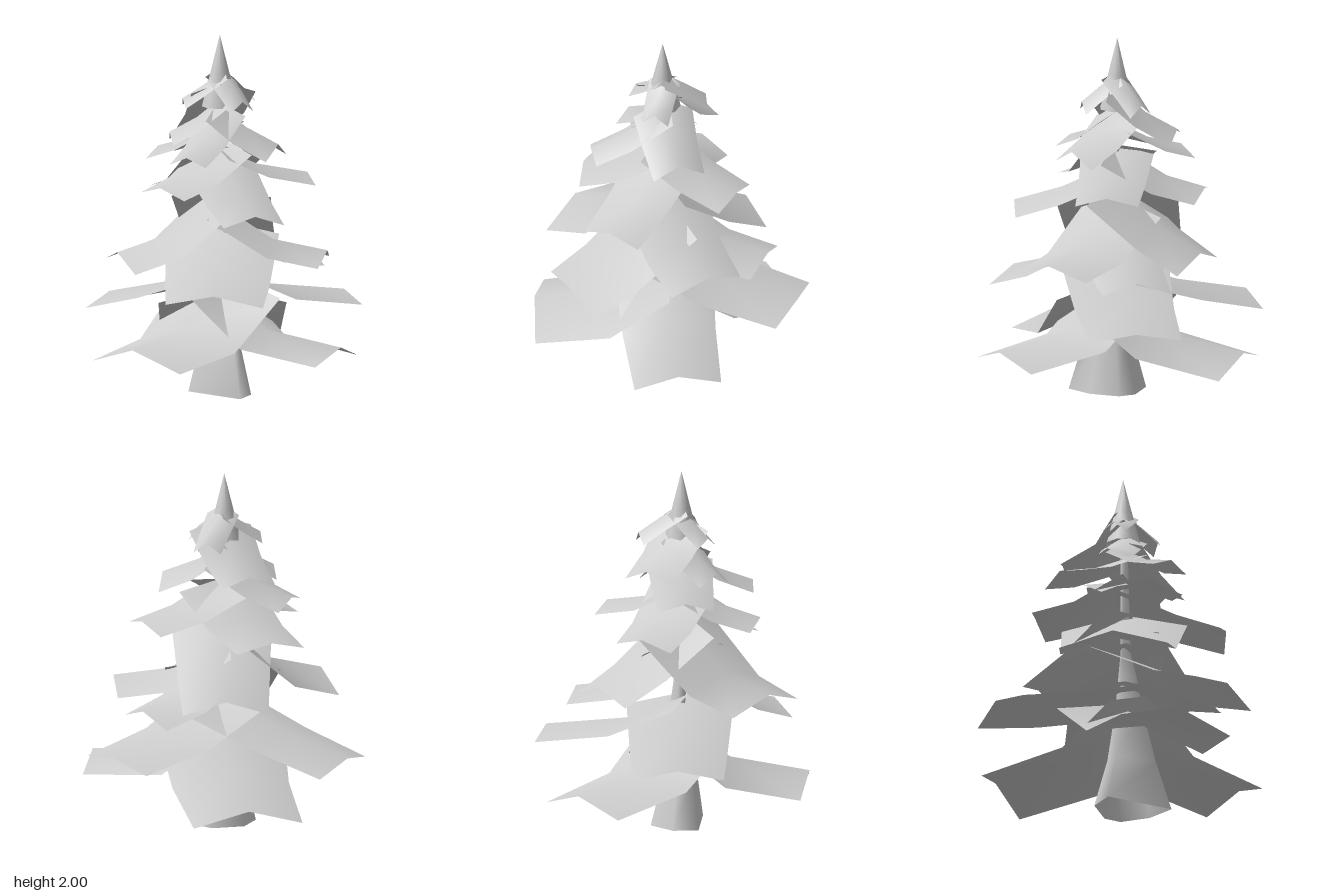
import * as THREE from 'three';

const grey = new THREE.MeshStandardMaterial({ color: 0xcccccc, side: THREE.DoubleSide });
grey.name = 'light grey';

function makeMesh(pos, index) {
  const geo = new THREE.BufferGeometry();
  geo.setAttribute('position', new THREE.Float32BufferAttribute(pos, 3));
  geo.setIndex(index);
  geo.computeVertexNormals();
  return new THREE.Mesh(geo, grey);
}

// One drooping bough: a sheet with a central ridge, bent once along its length,
// a little wider at its inner end, which passes just beyond the trunk axis.
// x1,z1,x2,z2: outer corners in plan; y0,yk,y1: ridge heights at inner end, bend, tip
function makeBough([x1, z1, x2, z2, y0, yk, y1, bend, drop], cx, cz) {
  let ex = (x2 - x1) / 2, ez = (z2 - z1) / 2;
  const dx = (x1 + x2) / 2 - cx, dz = (z1 + z2) / 2 - cz;
  if (dz * ex - dx * ez < 0) { ex = -ex; ez = -ez; }
  const pos = [], index = [];
  [[-0.08, y0, 1.16], [bend, yk, 1.07], [1, y1, 1]].forEach(([t, y, wide]) => {
    for (const s of [-1, 0, 1]) {
      const u = t + (s === 0 && t === 1 ? 0.04 : 0);
      pos.push(cx + dx * u + ex * s * wide, y - drop * Math.abs(s), cz + dz * u + ez * s * wide);
    }
  });
  for (let r = 0; r < 2; r++) {
    for (let c = 0; c < 2; c++) {
      const a = r * 3 + c;
      index.push(a, a + 3, a + 1, a + 1, a + 3, a + 4);
    }
  }
  return makeMesh(pos, index);
}

// Six-sided hollow trunk, flared and uneven at the foot
function makeTrunk() {
  const foot = [[-0.18, -0.04], [-0.09, -0.15], [0.09, -0.15], [0.16, -0.08], [0.16, 0.09], [0.09, 0.24]];
  // height, scale, centre x, centre z
  const rings = [[0, 1, -0.03, 0.02], [0.28, 0.63, -0.03, 0.03], [0.6, 0.36, -0.01, 0.02],
    [0.8, 0.24, -0.02, 0.02], [0.95, 0.13, -0.025, 0.015], [1.75, 0.08, -0.035, 0.01]];
  const n = foot.length, pos = [], index = [];
  for (const [y, s, x, z] of rings) for (const [fx, fz] of foot) pos.push(x + fx * s, y, z + fz * s);
  for (let r = 0; r < rings.length - 1; r++) {
    for (let i = 0; i < n; i++) {
      const a = r * n + i, b = r * n + (i + 1) % n;
      index.push(a, a + n, b, b, a + n, b + n);
    }
  }
  return makeMesh(pos, index);
}

const tiers = {
  lowestBough: [
    [-0.32, -0.72, 0.29, -0.70, 0.60, 0.36, 0.27, 0.33, 0.09],
    [-0.76, 0.24, -0.30, 0.72, 0.66, 0.39, 0.32, 0.4, 0.10],
    [0.71, 0.25, 0.45, 0.66, 0.65, 0.38, 0.32, 0.36, 0.08],
  ],
  lowBough: [
    [-0.42, -0.71, -0.76, -0.33, 0.73, 0.58, 0.48, 0.5, 0.06],
    [0.53, -0.57, 0.76, -0.11, 0.75, 0.58, 0.51, 0.42, 0.05],
    [-0.37, 0.54, 0.16, 0.69, 0.95, 0.72, 0.64, 0.6, 0.06],
  ],
  middleBough: [
    [0.55, -0.11, 0.39, -0.46, 0.99, 0.80, 0.75, 0.5, 0.07],
    [0.57, -0.02, 0.48, 0.41, 1.07, 0.87, 0.82, 0.5, 0.07],
    [-0.17, -0.53, 0.30, -0.46, 1.18, 0.97, 0.84, 0.5, 0.08],
    [-0.65, -0.16, -0.53, 0.43, 1.20, 0.90, 0.81, 0.52, 0.08],
  ],
  upperBough: [
    [-0.05, 0.58, 0.29, 0.49, 1.31, 1.15, 1.07, 0.55, 0.06],
    [0.38, -0.26, 0.49, 0.07, 1.38, 1.27, 1.21, 0.42, 0.05],
    [-0.40, -0.40, -0.01, -0.45, 1.38, 1.21, 1.14, 0.5, 0.05],
    [-0.48, 0.12, -0.26, 0.43, 1.40, 1.25, 1.19, 0.5, 0.05],
  ],
  highBough: [
    [-0.44, -0.11, -0.26, -0.37, 1.54, 1.41, 1.34, 0.5, 0.05],
    [0.33, 0.03, 0.20, 0.29, 1.62, 1.50, 1.41, 0.4, 0.08],
    [-0.33, 0.28, -0.14, 0.41, 1.60, 1.45, 1.37, 0.5, 0.05],
    [-0.26, -0.28, 0.05, -0.33, 1.74, 1.60, 1.49, 0.4, 0.06],
    [-0.31, -0.10, -0.30, 0.12, 1.67, 1.54, 1.46, 0.5, 0.06],
  ],
  topBough: [
    [-0.24, -0.05, -0.23, 0.09, 1.81, 1.72, 1.65, 0.5, 0.05],
    [0.03, -0.21, 0.17, -0.14, 1.82, 1.74, 1.66, 0.5, 0.06],
    [0.14, 0.13, 0.01, 0.21, 1.81, 1.73, 1.65, 0.5, 0.06],
  ],
};

export function createModel() {
  const group = new THREE.Group();

  const trunk = makeTrunk();
  trunk.name = 'trunk';
  group.add(trunk);

  // Boughs, rising in tiers around the trunk
  for (const [name, list] of Object.entries(tiers)) {
    list.forEach((spec, i) => {
      const bough = makeBough(spec, -0.025, 0.01);
      bough.name = name + (i + 1);
      group.add(bough);
    });
  }

  // Pointed crown
  const crownProfile = [[0.1, 1.6], [0.08, 1.68], [0.052, 1.79], [0, 2]]
    .map(([r, y]) => new THREE.Vector2(r, y));
  const crown = new THREE.Mesh(new THREE.LatheGeometry(crownProfile, 8), grey);
  crown.name = 'crown';
  crown.position.set(-0.037, 0, 0.01);
  group.add(crown);

  return group;
}
